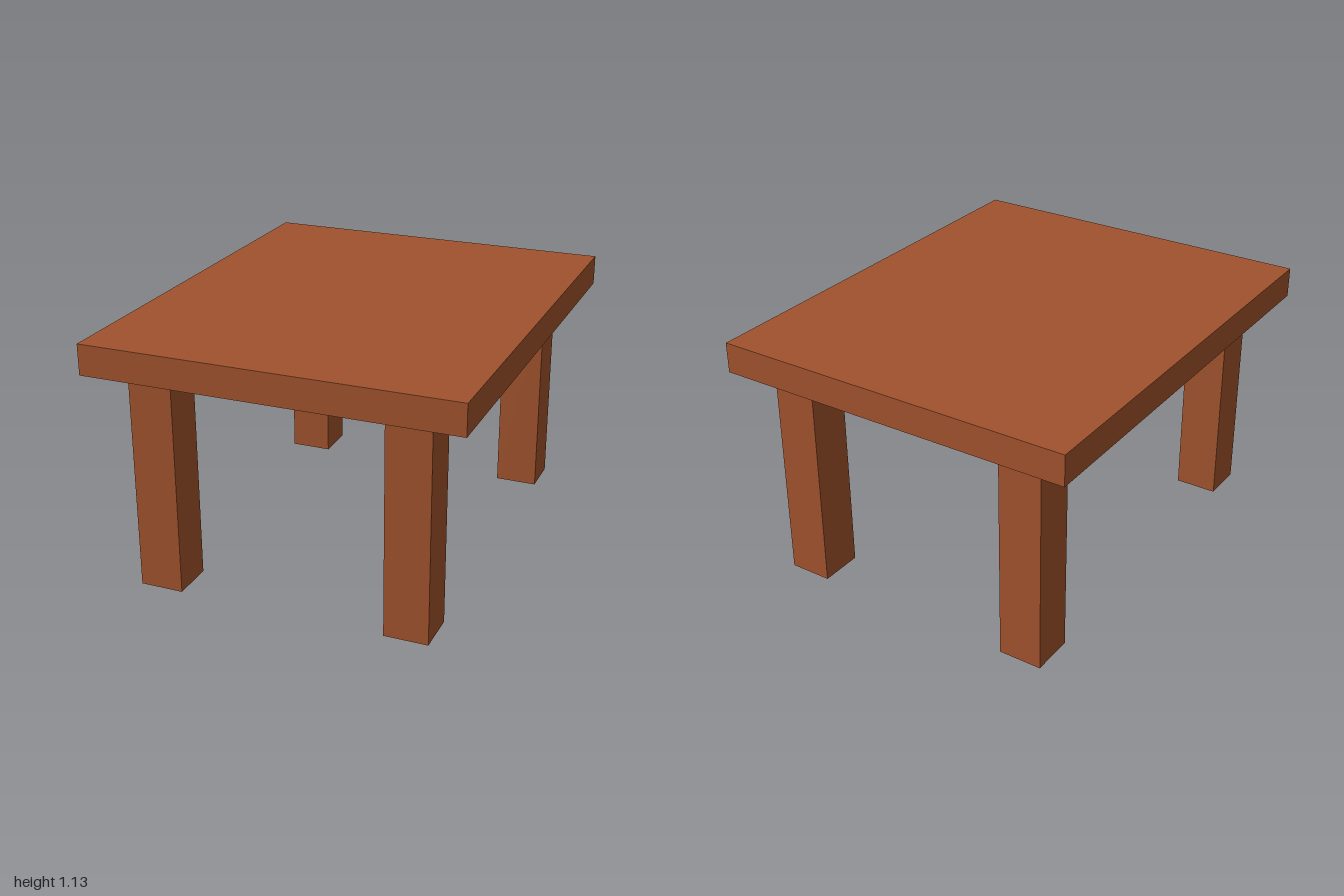
import * as THREE from 'three';

export function createModel() {
  const table = new THREE.Group();
  table.name = 'table';
  const wood = new THREE.MeshStandardMaterial({ color: 0xa0522d });
  wood.name = 'brown wood';

  const topY = 1.127, legHeight = 0.99, legWidth = 0.196;

  // Flat slab table top
  const top = new THREE.Mesh(new THREE.BoxGeometry(1.656, topY - legHeight, 2), wood);
  top.name = 'tableTop';
  top.position.y = (topY + legHeight) / 2;
  table.add(top);

  // Four square legs, mirrored in x and z
  const legGeometry = new THREE.BoxGeometry(legWidth, legHeight, legWidth);
  for (const [sideName, sx] of [['Left', 1], ['Right', -1]]) {
    for (const [endName, sz] of [['front', 1], ['back', -1]]) {
      const leg = new THREE.Mesh(legGeometry, wood);
      leg.name = `${endName}${sideName}Leg`;
      leg.position.set(sx * 0.565, legHeight / 2, sz * 0.8);
      table.add(leg);
    }
  }
  return table;
}
